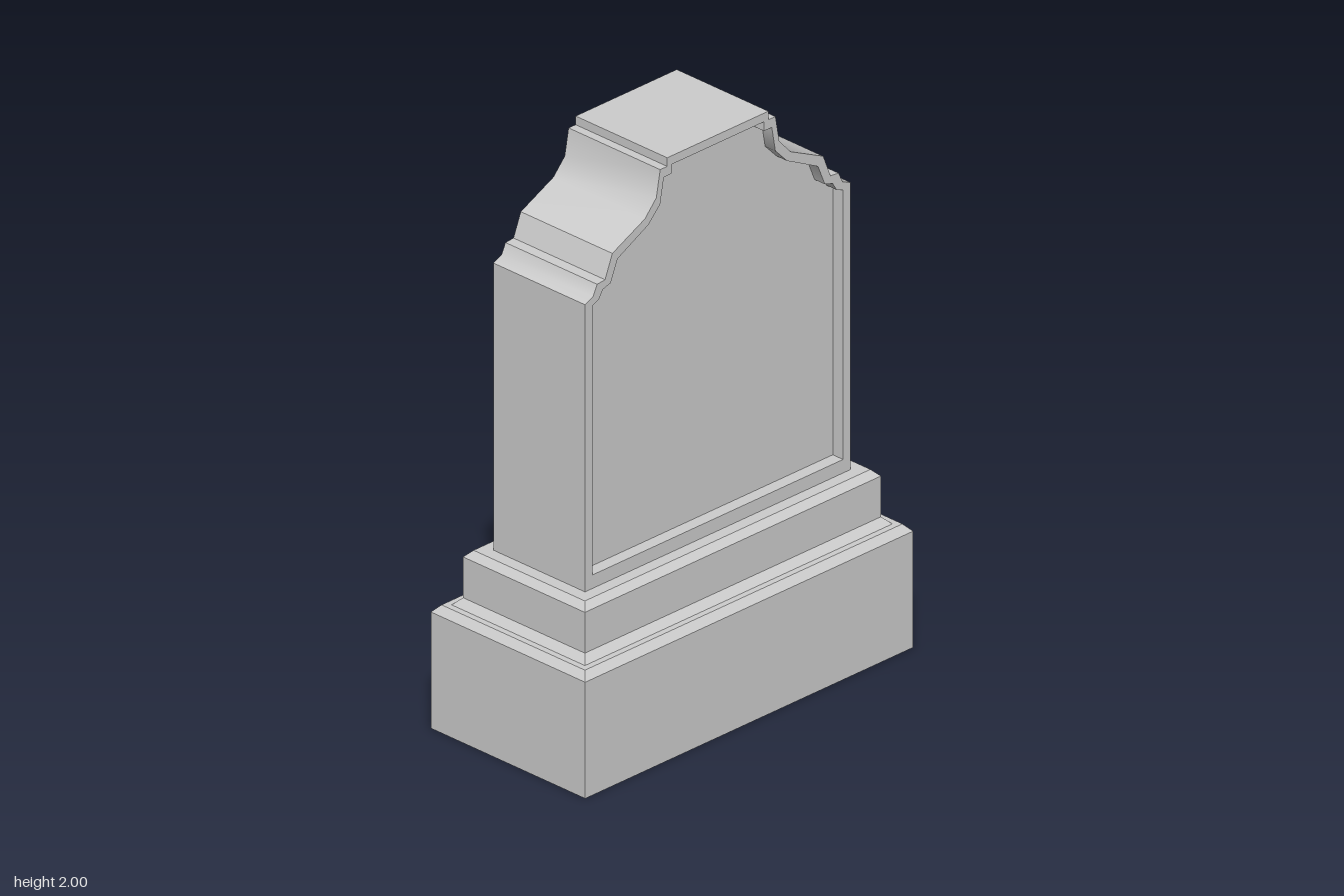
import * as THREE from 'three';
import { toCreasedNormals } from 'three/addons/utils/BufferGeometryUtils.js';

const material = new THREE.MeshStandardMaterial({ color: 0xcccccc });

// Right half of the headstone outline, from the bottom up
const OUTER = [
  [0.583, 0.62], [0.583, 1.62], [0.548, 1.635], [0.53, 1.672], [0.495, 1.675], [0.463, 1.755],
  [0.32, 1.823], [0.27, 1.878], [0.253, 1.97], [0.222, 1.97], [0.222, 2.0],
];
// The same outline drawn inwards, edging the sunken panels
const INNER = [
  [0.55, 0.667], [0.55, 1.605], [0.522, 1.616], [0.504, 1.645], [0.47, 1.655], [0.44, 1.728],
  [0.304, 1.797], [0.253, 1.85], [0.237, 1.938], [0.203, 1.938], [0.203, 1.97],
];

// Closed, left-right symmetric loop from a half outline
function mirrored(half) {
  const left = half.map(([x, y]) => [-x, y]).reverse();
  return [...half, ...left].map(([x, y]) => new THREE.Vector2(x, y));
}

// Stack of rectangular rings [halfX, halfZ, y], closed at both ends
function rectLoft(rings) {
  const corners = [[-1, 1], [1, 1], [1, -1], [-1, -1]];
  const positions = [];
  const index = [];
  for (const [hx, hz, y] of rings) {
    for (const [sx, sz] of corners) positions.push(sx * hx, y, sz * hz);
  }
  for (let r = 0; r < rings.length - 1; r++) {
    for (let i = 0; i < 4; i++) {
      const a = r * 4 + i;
      const b = r * 4 + (i + 1) % 4;
      index.push(a, b, b + 4, a, b + 4, a + 4);
    }
  }
  const t = (rings.length - 1) * 4;
  index.push(0, 2, 1, 0, 3, 2, t, t + 1, t + 2, t, t + 2, t + 3);
  const indexed = new THREE.BufferGeometry();
  indexed.setAttribute('position', new THREE.Float32BufferAttribute(positions, 3));
  indexed.setIndex(index);
  const geometry = indexed.toNonIndexed();
  geometry.computeVertexNormals();
  return geometry;
}

function addPart(group, name, geometry) {
  const mesh = new THREE.Mesh(geometry, material);
  mesh.name = name;
  group.add(mesh);
  return mesh;
}

export function createModel() {
  const group = new THREE.Group();
  group.name = 'gravestone';

  // Two-step plinth with chamfered edges
  addPart(group, 'plinth', rectLoft([
    [0.72, 0.337, 0], [0.72, 0.337, 0.405], [0.697, 0.313, 0.43], [0.675, 0.291, 0.43],
    [0.65, 0.266, 0.455], [0.65, 0.266, 0.597], [0.627, 0.243, 0.62],
  ]));

  // Raised rim and sides of the headstone
  const thickness = 0.4;
  const shape = new THREE.Shape(mirrored(OUTER));
  shape.holes.push(new THREE.Path(mirrored(INNER)));
  const rim = new THREE.ExtrudeGeometry(shape, { depth: thickness, bevelEnabled: false });
  rim.translate(0, 0, -thickness / 2);
  addPart(group, 'headstone', toCreasedNormals(rim, 0.73));

  // Sunken panel on each face
  const recess = 0.045;
  const panel = new THREE.ShapeGeometry(new THREE.Shape(mirrored(INNER)));
  panel.translate(0, 0, thickness / 2 - recess);
  addPart(group, 'frontPanel', panel);
  addPart(group, 'backPanel', panel).rotation.y = Math.PI;

  return group;
}
